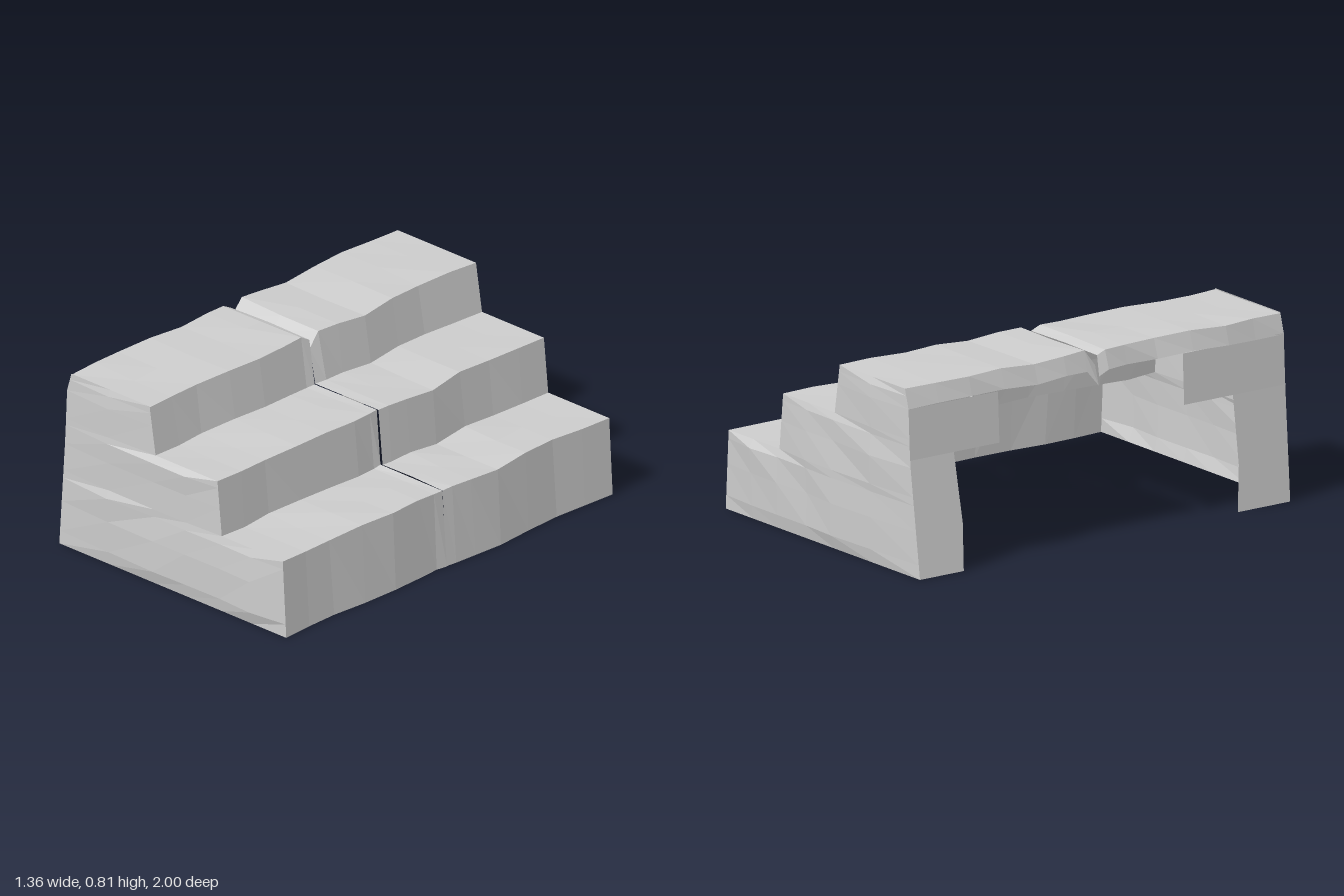
import * as THREE from 'three';

const stone = new THREE.MeshStandardMaterial({ color: 0xcccccc, flatShading: true, side: THREE.DoubleSide });
stone.name = 'grey stone';

// Surface through a grid of points; keep(i, j) leaves cells out
function sheet(name, P, flip = false, keep = () => true) {
  const pos = [], idx = [], n = P[0].length;
  P.forEach(row => row.forEach(p => pos.push(...p)));
  for (let i = 0; i < P.length - 1; i++) {
    for (let j = 0; j < n - 1; j++) {
      if (!keep(i, j)) continue;
      const a = i * n + j, b = a + 1, d = a + n, c = d + 1;
      if (flip) idx.push(a, c, b, a, d, c);
      else idx.push(a, b, c, a, c, d);
    }
  }
  const g = new THREE.BufferGeometry();
  g.setAttribute('position', new THREE.Float32BufferAttribute(pos, 3));
  g.setIndex(idx);
  g.computeVertexNormals();
  const mesh = new THREE.Mesh(g, stone);
  mesh.name = name;
  return mesh;
}

// Repeatable roughness in -1..1
const rough = (a, b) => {
  const s = Math.sin(a * 12.99 + b * 78.23) * 43758.55;
  return (s - Math.floor(s)) * 2 - 1;
};

// Tread heights and the leaning rear edge
const LOW = 0.345, MID = 0.59, TOP = 0.805;
const lerp = THREE.MathUtils.lerp;
function rearX(y, side) {
  if (y <= 0.5) return lerp(side < 0 ? -0.68 : -0.645, -0.61, y / 0.5);
  if (y <= 0.72) return lerp(-0.61, -0.6, (y - 0.5) / 0.22);
  return lerp(-0.6, -0.575, (y - 0.72) / (TOP - 0.72));
}

// Section of the steps, from the rear lip over the treads to the floor
const section = [
  [-0.6, 0.72], [-0.575, TOP], [-0.35, TOP], [-0.12, TOP],
  [-0.085, MID], [0.1, MID], [0.275, MID],
  [0.3, LOW], [0.48, LOW], [0.655, LOW], [0.675, 0],
];

// Stations along each half: z, sideways shift, lift, drop of the top tread
const halves = {
  frontSteps: [
    [0.975, 0, 0, 0.005], [0.83, -0.007, -0.005, 0], [0.68, -0.014, -0.003, 0], [0.5, -0.005, 0.003, 0],
    [0.32, 0.002, 0, 0], [0.16, -0.004, 0, 0], [0.06, -0.01, -0.002, 0], [0.015, -0.008, 0, 0.02],
  ],
  backSteps: [
    [0.012, -0.005, 0, 0.06], [-0.04, 0, 0.004, 0], [-0.15, 0.002, 0.002, 0], [-0.3, 0.006, -0.008, 0.002],
    [-0.48, -0.004, 0.006, 0], [-0.65, -0.012, 0.003, 0], [-0.82, -0.004, 0.002, 0], [-0.975, 0, 0, 0],
  ],
};

function steps(name) {
  const list = halves[name];
  const P = list.map(([z, dx, dy, drop], i) => {
    const end = Math.abs(z) > 0.9;
    return section.map(([x, y], j) => [
      x + dx + (end ? 0 : rough(i, j) * 0.005),
      y === 0 ? 0 : y + dy + (end ? 0 : rough(j + 3, i) * 0.004) - (j < 4 ? drop : 0),
      z + (end ? 0 : rough(j, i + 9) * 0.006),
    ]);
  });
  return sheet(name, P);
}

// Stepped end wall with bevelled foot and tread edges
const levels = [0, 0.06, 0.2, 0.31, LOW, 0.47, 0.56, MID, 0.72, 0.775, TOP];
function endWall(name, side) {
  const P = levels.map((y, i) => {
    const xs = [
      rearX(y, side), -0.35, y > MID ? lerp(-0.085, -0.12, (y - MID) / (TOP - MID)) : -0.085,
      0.1, y > LOW ? lerp(0.3, 0.275, (y - LOW) / (MID - LOW)) : 0.3, 0.48, lerp(0.675, 0.655, y / LOW),
    ];
    return xs.map((x, j) => {
      const rim = j === 0 || j === 6 || y === 0 || y === TOP ||
        (y === MID && j >= 2) || (y === LOW && j >= 4) || (j === 2 && y > MID) || (j === 4 && y > LOW);
      return [x, y, side * (rim ? 0.975 : 0.99 + rough(i + side, j) * 0.008)];
    });
  });
  const keep = (i, j) => j < (levels[i] < LOW ? 6 : levels[i] < MID ? 4 : 2);
  return sheet(name, P, side < 0, keep);
}

// Rear return: a narrow leg with a wider shoulder under the top tread
function rearReturn(name, side) {
  const depths = side > 0 ? [0.45, 0.71, 0.975] : [-0.975, -0.74, -0.51];
  const P = [0, 0.2, 0.5, 0.72].map((y, i) =>
    depths.map((z, j) => [rearX(y, side), y, z + (j === 1 ? rough(i, 4) * 0.02 : 0)]));
  const leg = side > 0 ? 1 : 0;
  return sheet(name, P, false, (i, j) => i === 2 || j === leg);
}

export function createModel() {
  const model = new THREE.Group();
  model.name = 'stoneSteps';
  model.add(
    steps('frontSteps'), steps('backSteps'),
    endWall('frontEndWall', 1), endWall('backEndWall', -1),
    rearReturn('frontRearReturn', 1), rearReturn('backRearReturn', -1),
  );
  return model;
}
